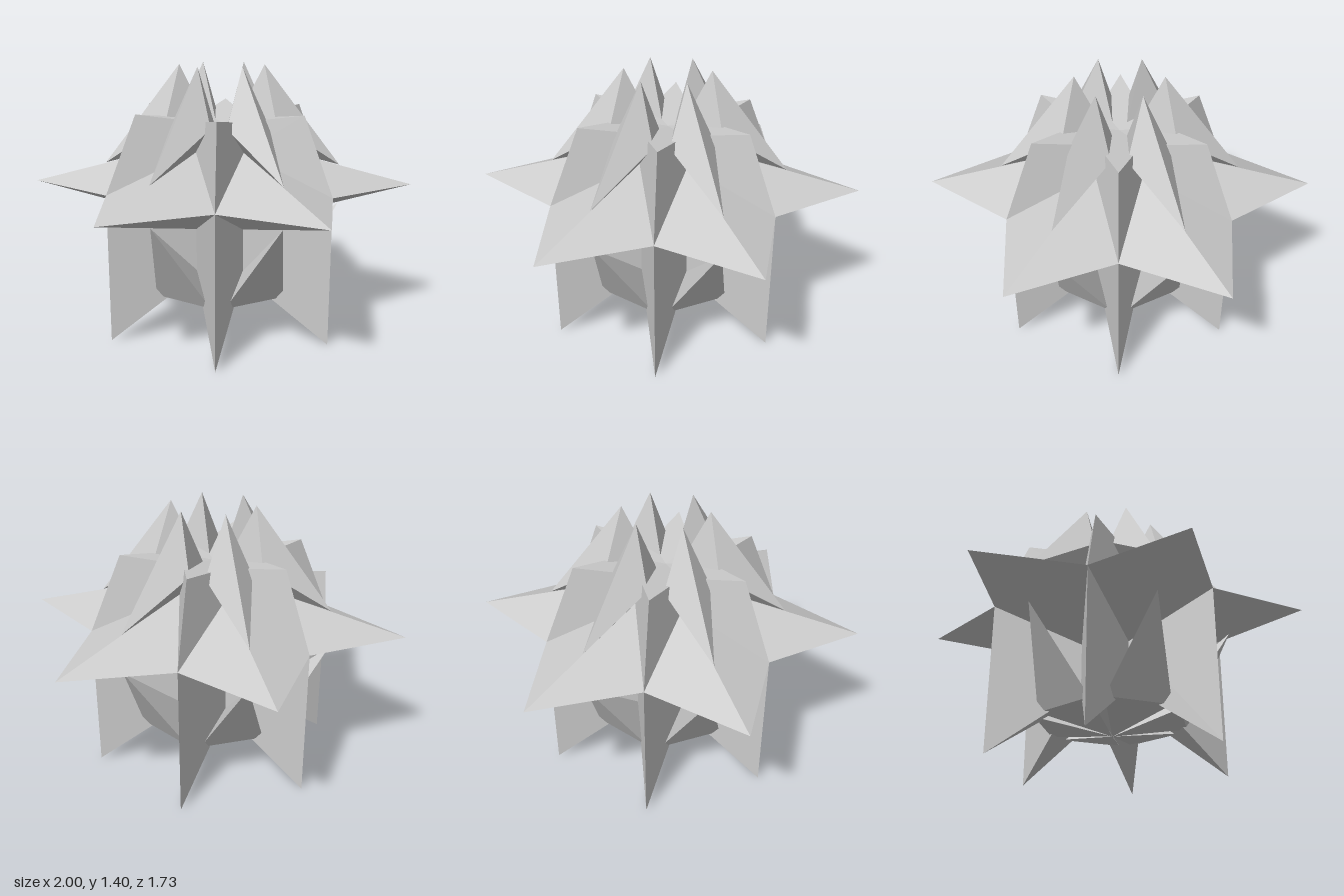
import * as THREE from 'three';
import { ConvexGeometry } from 'three/addons/geometries/ConvexGeometry.js';

// point from radius, angle in degrees and height
const at = (r, deg, y) => {
  const a = THREE.MathUtils.degToRad(deg);
  return new THREE.Vector3(r * Math.cos(a), y, r * Math.sin(a));
};

export function createModel() {
  const model = new THREE.Group();
  model.name = 'stellatedStar';
  const material = new THREE.MeshStandardMaterial({ color: 0xcccccc, flatShading: true });

  // corners shared by neighbouring spikes
  const mid = 0.777;
  const notchA = at(0.645, -30, mid), notchB = at(0.645, 30, mid);
  const ridgeTop = (deg) => at(0.24, deg, 0.977);
  const ridgeLow = (deg) => at(0.24, deg, 0.577);

  const parts = {
    // flat horizontal points of the star
    starPoint: [at(1, 0, mid), notchA, notchB, ridgeTop(0), ridgeLow(0)],
    // blunt upper spikes above the notches
    upperSpike: [
      at(0.48, 30, 1.17), notchB, ridgeTop(0), ridgeTop(60),
      at(0.213, 0, 1.127), at(0.213, 60, 1.127), at(0, 0, 1.1),
    ],
    // tall crown blades on the ridges of the star points
    crownBlade: [
      at(0.62, 0, 0.88), at(0.22, 0, 1.4),
      new THREE.Vector3(0.283, 1.11, 0.118), new THREE.Vector3(0.283, 1.11, -0.118),
      at(0.075, 0, 1.11), ridgeTop(0),
    ],
    // legs hanging straight below the notches
    leg: [
      at(0.645, 30, 0), notchB, ridgeLow(0), ridgeLow(60),
      at(0.24, 0, 0.325), at(0.24, 60, 0.325), at(0, 0, 0.48),
    ],
    // wedges between the legs, meeting at the bottom centre
    lowerWedge: [at(0.62, 0, 0.675), at(0.402, 25, 0.22), at(0.402, -25, 0.22), at(0, 0, 0.15)],
  };

  // repeat every part six times around the vertical axis
  for (const [name, points] of Object.entries(parts)) {
    const geometry = new ConvexGeometry(points);
    for (let k = 0; k < 6; k++) {
      const mesh = new THREE.Mesh(geometry, material);
      mesh.name = name + (k + 1);
      mesh.rotation.y = (k * Math.PI) / 3;
      model.add(mesh);
    }
  }
  return model;
}
